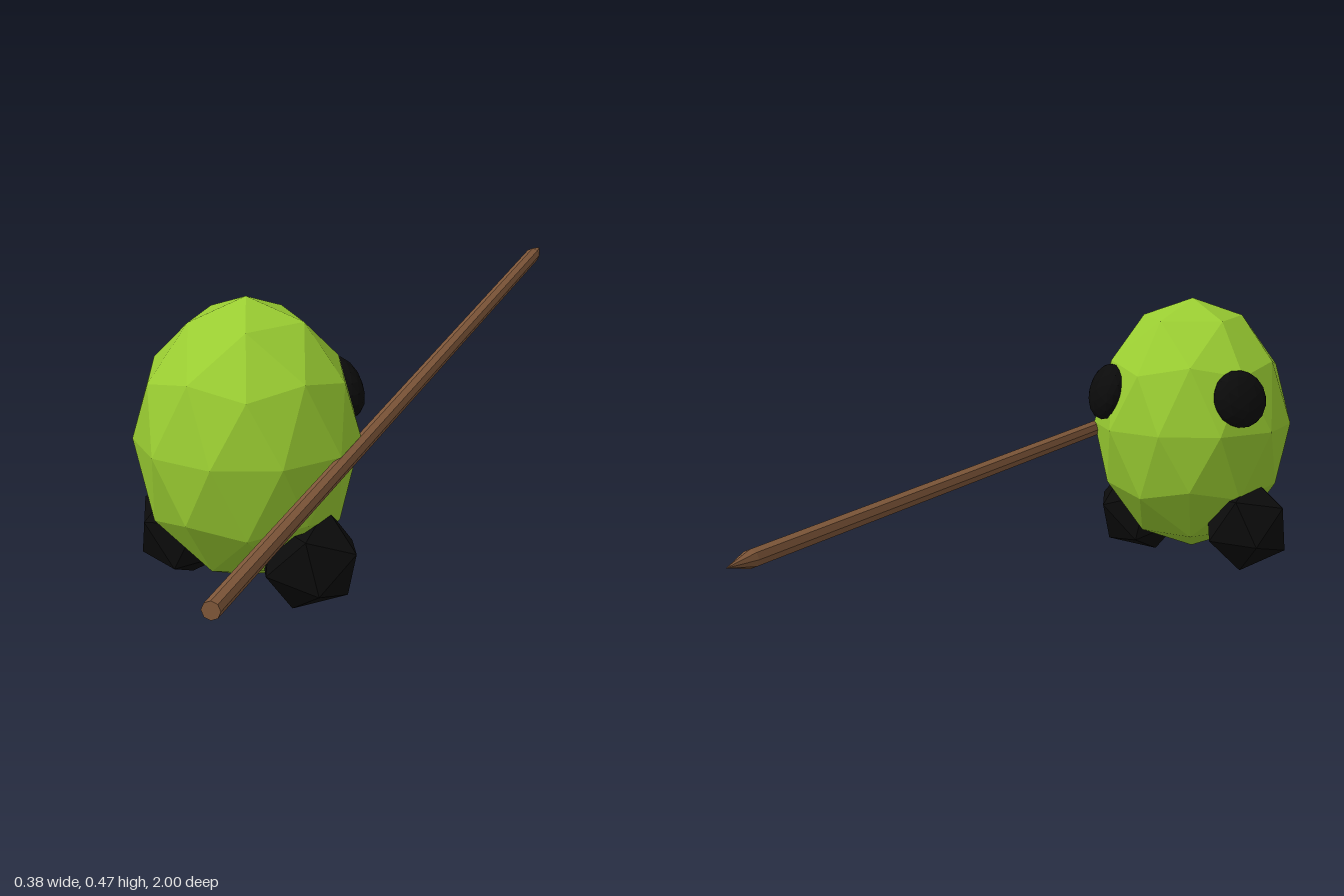
import * as THREE from 'three';

const skin = new THREE.MeshStandardMaterial({ color: 0x9acd32, flatShading: true });
skin.name = 'leafGreen';
const black = new THREE.MeshStandardMaterial({ color: 0x0b0b0b, flatShading: true });
black.name = 'black';
const wood = new THREE.MeshStandardMaterial({ color: 0x80583a, flatShading: true });
wood.name = 'woodBrown';

const T = (1 + Math.sqrt(5)) / 2;
const CENTRE_Z = 0.352;

function part(name, geometry, material, x, y, z) {
  const mesh = new THREE.Mesh(geometry, material);
  mesh.name = name;
  mesh.position.set(x, y, z);
  return mesh;
}

// Icosahedron with a face towards +z and one corner of it at the given angle
function footGeometry(radius, degrees) {
  const normal = new THREE.Vector3(-1, 1, 1).normalize();
  const up = new THREE.Vector3(-1, T, 0).projectOnPlane(normal).normalize();
  const side = new THREE.Vector3().crossVectors(up, normal);
  const turn = new THREE.Matrix4().makeBasis(side, up, normal).invert();
  return new THREE.IcosahedronGeometry(radius, 0)
    .applyMatrix4(turn)
    .rotateZ(THREE.MathUtils.degToRad(degrees - 90));
}

export function createModel() {
  const model = new THREE.Group();
  model.name = 'spearCreature';

  // Egg-shaped body: a faceted ball with a corner at the top
  const egg = new THREE.IcosahedronGeometry(1, 1)
    .rotateZ(-Math.atan(1 / T))
    .scale(0.173, 0.221, 0.173);
  model.add(part('body', egg, skin, 0, 0.2475, CENTRE_Z));

  // Chunky feet, one stepping ahead of the other
  model.add(part('leftFoot', footGeometry(0.082, 74), black, 0.112, 0.08, 0.395));
  model.add(part('rightFoot', footGeometry(0.082, 34), black, -0.115, 0.081, 0.31));

  // Flattened eyes lying on the body
  for (const s of [1, -1]) {
    const eye = part(s > 0 ? 'leftEye' : 'rightEye',
      new THREE.IcosahedronGeometry(1, 2).scale(0.05, 0.05, 0.028),
      black, s * 0.122, 0.31, CENTRE_Z - 0.1);
    eye.lookAt(s * 0.244, 0.355, CENTRE_Z - 0.2);
    model.add(eye);
  }

  // Spear: shaft and pointed tip, rising slightly towards the point
  const spear = new THREE.Group();
  spear.name = 'spear';
  spear.position.set(0.165, 0.2385, 0);
  spear.rotation.x = -Math.PI / 2 + 0.0105;
  const shaft = new THREE.CylinderGeometry(0.0135, 0.0135, 1.935, 8);
  const tip = new THREE.ConeGeometry(0.0135, 0.065, 8);
  spear.add(part('spearShaft', shaft, wood, 0, -0.0325, 0));
  spear.add(part('spearTip', tip, wood, 0, 0.9675, 0));
  model.add(spear);

  return model;
}
